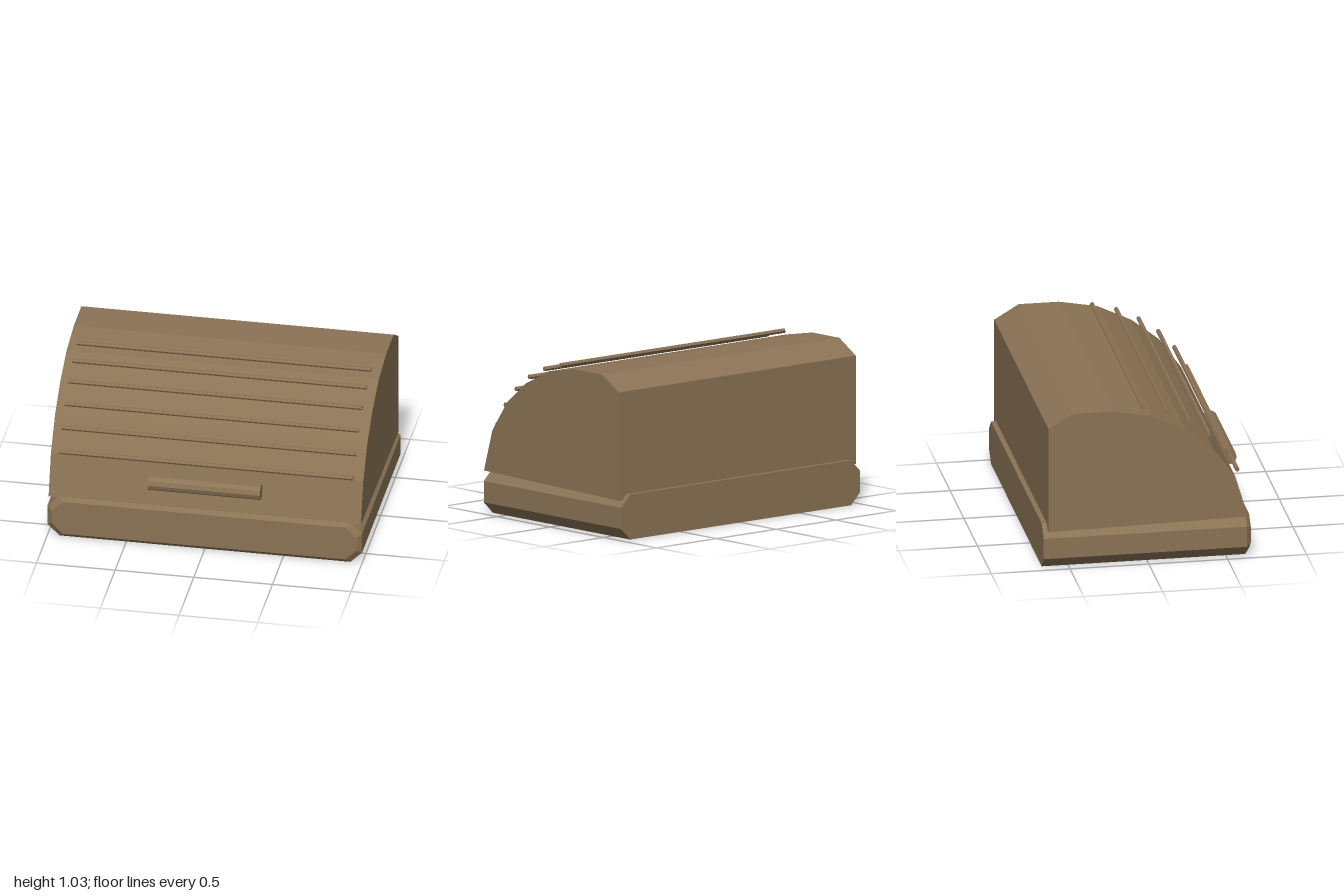
import * as THREE from 'three';
import { ConvexGeometry } from 'three/addons/geometries/ConvexGeometry.js';

export function createModel() {
  const group = new THREE.Group();
  const wood = new THREE.MeshStandardMaterial({ color: 0x8b7355, flatShading: true });
  wood.name = 'brown';

  const add = (geometry, name) => {
    const mesh = new THREE.Mesh(geometry, wood);
    mesh.name = name;
    group.add(mesh);
    return mesh;
  };

  // Octagonal cross-section of the base at depth z
  const ring = (z, halfWidth, bottom, top, cut) => {
    const points = [];
    for (const side of [-1, 1]) {
      points.push(
        new THREE.Vector3(side * (halfWidth - cut), bottom, z),
        new THREE.Vector3(side * halfWidth, bottom + cut, z),
        new THREE.Vector3(side * halfWidth, top - cut, z),
        new THREE.Vector3(side * (halfWidth - cut), top, z));
    }
    return points;
  };

  // Base: chamfered slab, flat at the back and bevelled at the front
  add(new ConvexGeometry([
    ...ring(-0.667, 1, 0, 0.285, 0.075),
    ...ring(0.623, 1, 0, 0.285, 0.075),
    ...ring(0.653, 0.968, 0.03, 0.257, 0.07),
  ]), 'base');

  // Lid: curved side profile given as (z, y), swept across the width
  const profile = [
    [-0.635, 0.25], [0.63, 0.275], [0.55, 0.543], [0.41, 0.74], [0.235, 0.88],
    [0.02, 0.985], [-0.225, 1.03], [-0.48, 1.03], [-0.635, 0.937],
  ].map(([z, y]) => new THREE.Vector2(z, y));
  const lid = new THREE.ExtrudeGeometry(new THREE.Shape(profile),
    { depth: 1.986, bevelEnabled: false });
  lid.translate(0, 0, -0.993).rotateY(-Math.PI / 2);
  add(lid, 'lid');

  // Bars running from side to side
  const bar = (name, radius, length, sides, z, y) => {
    const geometry = new THREE.CylinderGeometry(radius, radius, length, sides);
    geometry.rotateZ(Math.PI / 2);
    add(geometry, name).position.set(0, y, z);
  };

  // Thin hexagonal slats following the curve of the lid
  [[-0.025, 1.022], [0.128, 0.979], [0.27, 0.909], [0.395, 0.816],
    [0.497, 0.702], [0.572, 0.57]].forEach(([z, y], i) =>
    bar(`slat${i + 1}`, 0.015, 1.87, 6, z, y));

  // Handle on the lower front of the lid
  bar('handle', 0.049, 0.714, 10, 0.62, 0.437);

  return group;
}
